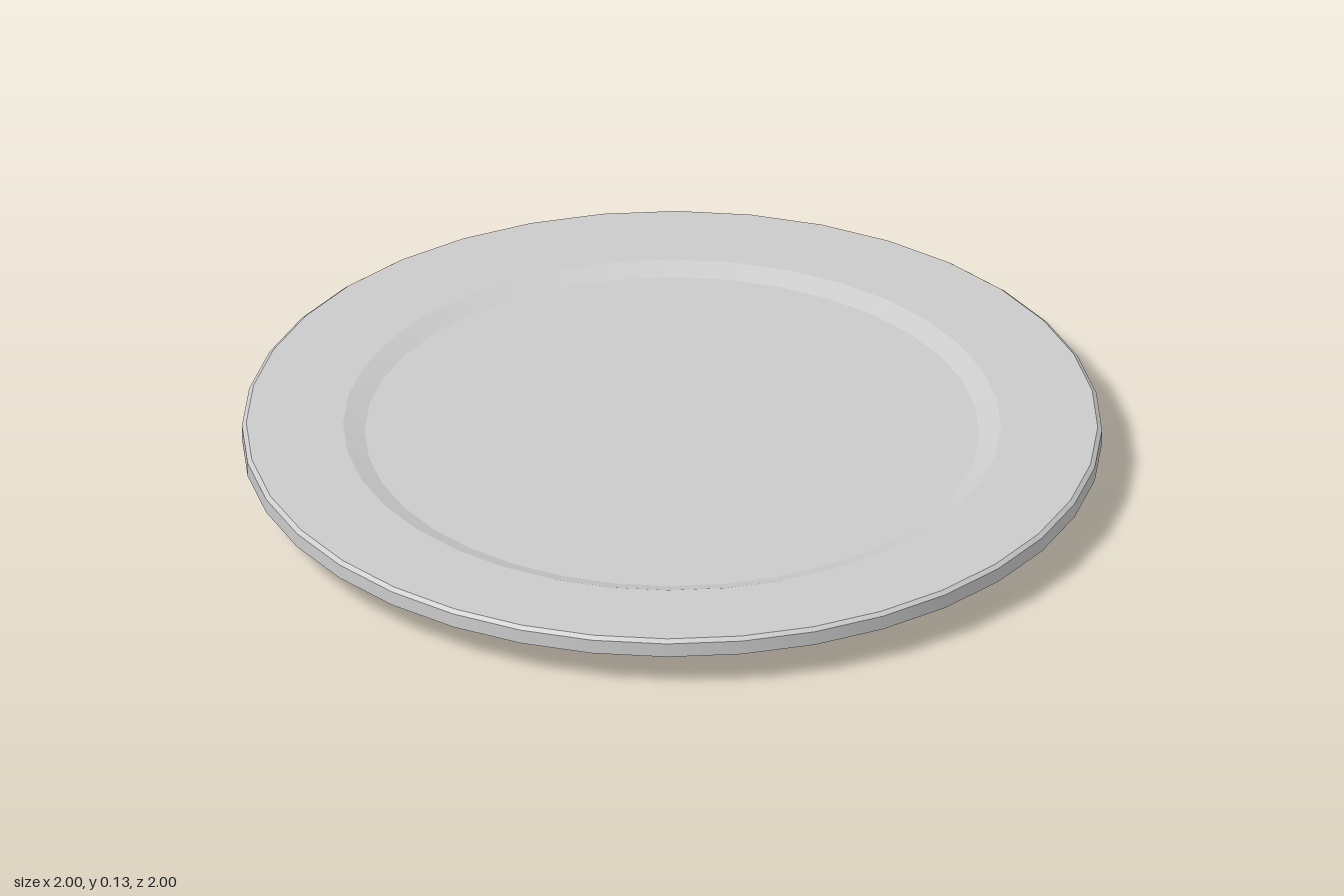
import * as THREE from 'three';

const SIDES = 36;

export function createModel() {
  const plate = new THREE.Group();
  plate.name = 'plate';
  const material = new THREE.MeshStandardMaterial({ color: 0xcccccc });

  // One smooth band turned around y; separate bands keep sharp edges between them.
  function band(name, profile) {
    const points = profile.map(([r, y]) => new THREE.Vector2(r, y));
    const mesh = new THREE.Mesh(new THREE.LatheGeometry(points, SIDES), material);
    mesh.name = name;
    plate.add(mesh);
  }

  // Underside, from the centre outwards
  band('base', [[0, 0], [0.71, 0]]);
  band('underside', [[0.71, 0], [0.82, 0.045], [0.875, 0.068], [0.9, 0.073], [0.985, 0.08]]);

  // Rim edge, with small bevels below and above
  band('lowerBevel', [[0.985, 0.08], [1, 0.087]]);
  band('rimEdge', [[1, 0.087], [1, 0.122]]);
  band('upperBevel', [[1, 0.122], [0.99, 0.13]]);

  // Upper side, from the rim inwards
  band('rimTop', [[0.99, 0.13], [0.765, 0.13]]);
  band('wellSlope', [[0.765, 0.13], [0.715, 0.112]]);
  band('wellFloor', [[0.715, 0.112], [0, 0.112]]);

  return plate;
}
